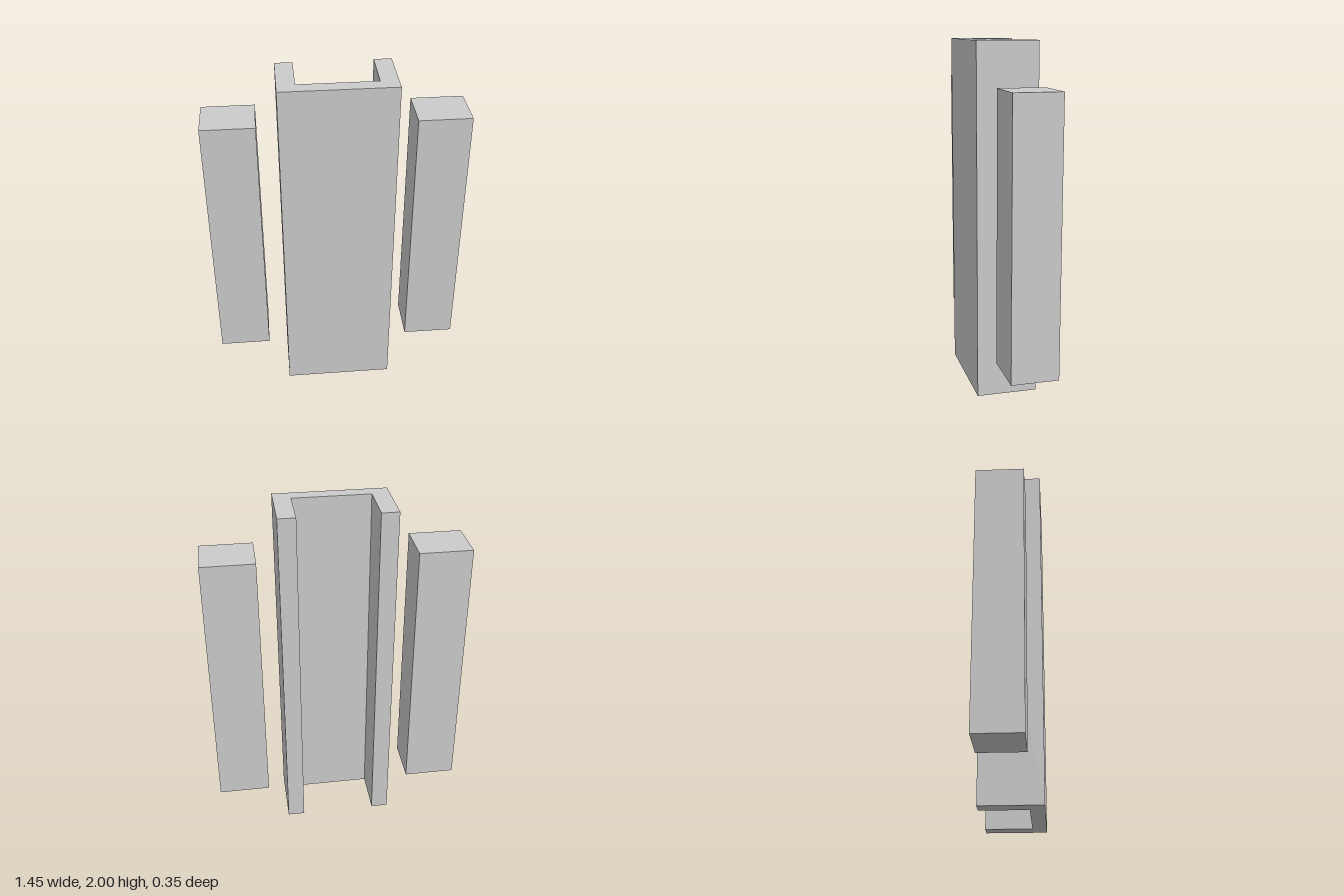
import * as THREE from 'three';

const HEIGHT = 2;
const BACK = -0.173;
const FRONT = 0.173;
const INNER = 0.093; // rear face of the front panel
const material = new THREE.MeshStandardMaterial({ color: 0xcccccc, flatShading: true });

// U-shaped channel, open to the back
function createChannel() {
  const outer = 0.315, inner = 0.217;
  // Shape y is -z, so the extrusion can be turned upright
  const outline = [
    [-outer, FRONT], [outer, FRONT], [outer, BACK], [inner, BACK],
    [inner, INNER], [-inner, INNER], [-inner, BACK], [-outer, BACK],
  ].map(([x, z]) => new THREE.Vector2(x, -z));
  const geometry = new THREE.ExtrudeGeometry(new THREE.Shape(outline), {
    depth: HEIGHT, bevelEnabled: false,
  });
  geometry.rotateX(-Math.PI / 2);
  const mesh = new THREE.Mesh(geometry, material);
  mesh.name = 'centralChannel';
  return mesh;
}

// Shorter solid block beside the channel, flush with its back
function createSideBlock(side, name) {
  const near = 0.43, far = 0.725, depth = INNER - BACK - 0.001;
  const mesh = new THREE.Mesh(new THREE.BoxGeometry(far - near, 1.52, depth), material);
  mesh.position.set(side * (near + far) / 2, HEIGHT / 2, BACK + depth / 2);
  mesh.name = name;
  return mesh;
}

export function createModel() {
  const group = new THREE.Group();
  group.name = 'channelWithSideBlocks';
  group.add(createChannel(), createSideBlock(1, 'leftBlock'), createSideBlock(-1, 'rightBlock'));
  return group;
}
